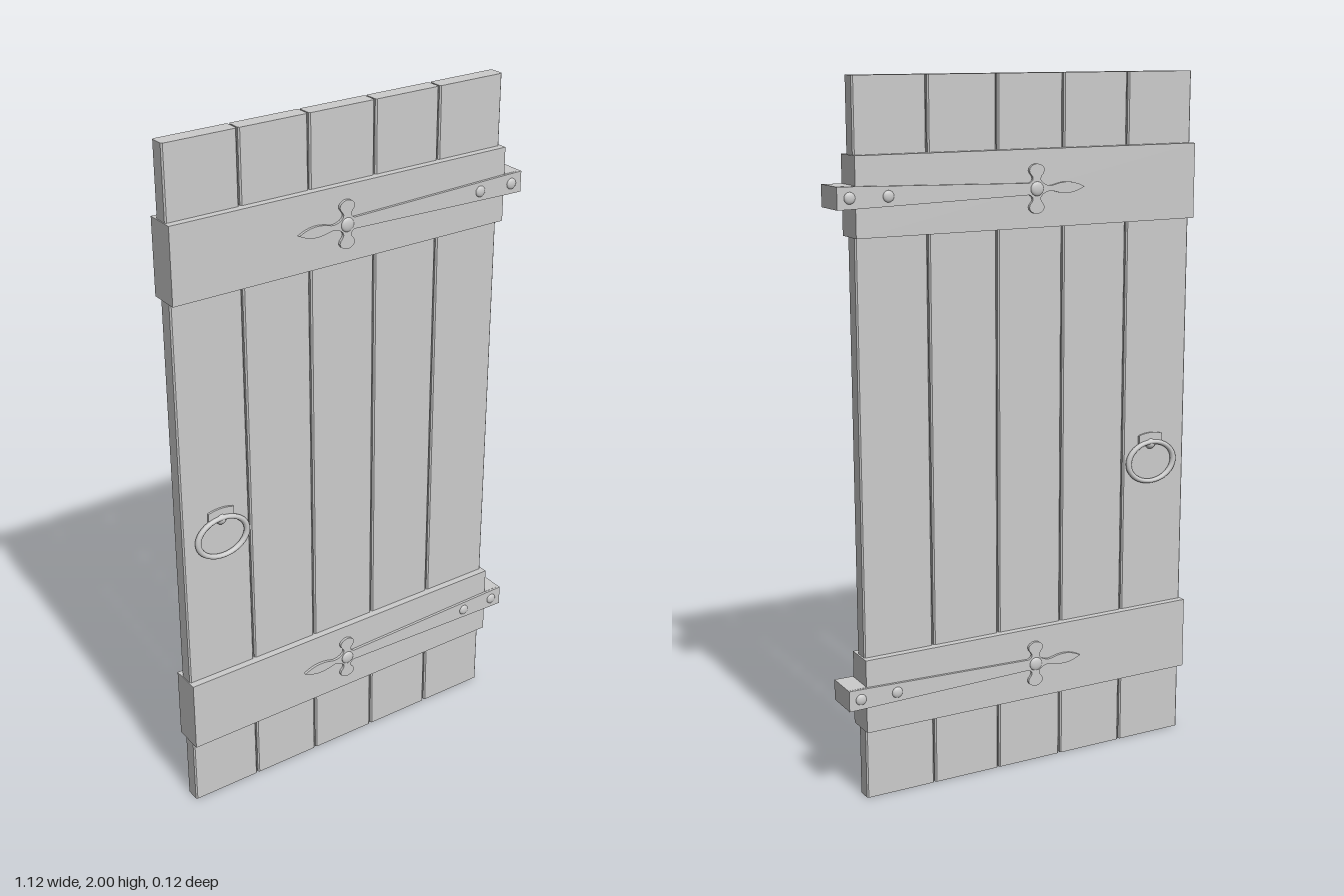
import * as THREE from 'three';

const grey = new THREE.MeshStandardMaterial({ color: 0xcccccc });
grey.name = 'plain grey';

function add(parent, name, geometry, x = 0, y = 0, z = 0) {
  const mesh = new THREE.Mesh(geometry, grey);
  mesh.name = name;
  mesh.position.set(x, y, z);
  parent.add(mesh);
  return mesh;
}

// Upright plank with slightly chamfered long edges
function plankGeometry(width, height, depth, c) {
  const w = width / 2, d = depth / 2;
  const points = [[-w + c, -d], [w - c, -d], [w, -d + c], [w, d - c], [w - c, d], [-w + c, d], [-w, d - c], [-w, -d + c]];
  const shape = new THREE.Shape(points.map(p => new THREE.Vector2(...p)));
  return new THREE.ExtrudeGeometry(shape, { depth: height, bevelEnabled: false }).rotateX(-Math.PI / 2);
}

// Tapered hinge strap ending in two side lobes and a pointed leaf
function strapShape() {
  const s = new THREE.Shape();
  s.moveTo(0.555, -0.03);
  s.lineTo(0.555, 0.03);
  s.lineTo(0.50, 0.029);
  s.lineTo(-0.012, 0.016);
  s.bezierCurveTo(-0.028, 0.024, -0.024, 0.032, -0.014, 0.042);
  s.bezierCurveTo(-0.004, 0.058, -0.024, 0.068, -0.035, 0.068);
  s.bezierCurveTo(-0.046, 0.068, -0.066, 0.058, -0.056, 0.042);
  s.bezierCurveTo(-0.046, 0.032, -0.042, 0.024, -0.056, 0.014);
  s.quadraticCurveTo(-0.075, 0.004, -0.09, 0.009);
  s.bezierCurveTo(-0.12, 0.018, -0.15, 0.02, -0.186, 0);
  s.bezierCurveTo(-0.15, -0.02, -0.12, -0.018, -0.09, -0.009);
  s.quadraticCurveTo(-0.075, -0.004, -0.056, -0.014);
  s.bezierCurveTo(-0.042, -0.024, -0.046, -0.032, -0.056, -0.042);
  s.bezierCurveTo(-0.066, -0.058, -0.046, -0.068, -0.035, -0.068);
  s.bezierCurveTo(-0.024, -0.068, -0.004, -0.058, -0.014, -0.042);
  s.bezierCurveTo(-0.024, -0.032, -0.028, -0.024, -0.012, -0.016);
  s.lineTo(0.50, -0.029);
  return s;
}

// Domed rivet facing +z
function rivetGeometry(radius, height) {
  return new THREE.SphereGeometry(radius, 16, 5, 0, Math.PI * 2, 0, Math.PI / 2)
    .scale(1, height / radius, 1).rotateX(Math.PI / 2);
}

export function createModel() {
  const model = new THREE.Group();
  model.name = 'plankDoor';

  // Five planks
  const seams = [-0.557, -0.343, -0.134, 0.073, 0.282, 0.495];
  for (let i = 0; i < 5; i++) {
    const a = seams[i] + (i ? 0.002 : 0), b = seams[i + 1] - (i < 4 ? 0.002 : 0);
    add(model, 'plank', plankGeometry(b - a, 2, 0.046, 0.004), (a + b) / 2, 0, 0);
  }

  // Cross boards with a hinge on each
  const strap = new THREE.ExtrudeGeometry(strapShape(), { depth: 0.009, bevelEnabled: false, curveSegments: 6 });
  for (const [boardY, hingeY] of [[0.313, 0.313], [1.691, 1.691]]) {
    add(model, 'crossBoard', new THREE.BoxGeometry(1.06, 0.214, 0.088), -0.03, boardY, 0);
    const hinge = new THREE.Group();
    hinge.name = 'hinge';
    hinge.position.y = hingeY;
    model.add(hinge);
    add(hinge, 'hingeEnd', new THREE.BoxGeometry(0.056, 0.06, 0.09), 0.527, 0, 0);
    add(hinge, 'frontStrap', strap, 0, 0, 0.043);
    add(hinge, 'backStrap', strap, 0, 0, -0.052);
    for (const x of [-0.035, 0.41, 0.52]) {
      const r = x < 0 ? 0.02 : 0.016;
      add(hinge, 'frontRivet', rivetGeometry(r, 0.007), x, 0, 0.052);
      add(hinge, 'backRivet', rivetGeometry(r, 0.007), x, 0, -0.052).rotation.y = Math.PI;
    }
  }

  // Ring handles with their mounts on both faces
  const mount = new THREE.Shape();
  mount.moveTo(-0.04, 0.912);
  mount.quadraticCurveTo(0, 0.925, 0.04, 0.912);
  mount.lineTo(0.04, 0.95);
  mount.quadraticCurveTo(0, 0.962, -0.04, 0.95);
  const mountGeometry = new THREE.ExtrudeGeometry(mount, { depth: 0.007, bevelEnabled: false });
  for (const side of [1, -1]) {
    const handle = new THREE.Group();
    handle.name = side > 0 ? 'frontHandle' : 'backHandle';
    handle.position.x = -0.437;
    handle.rotation.y = side > 0 ? 0 : Math.PI;
    model.add(handle);
    add(handle, 'handleMount', mountGeometry, 0, 0, 0.022);
    add(handle, 'handleLoop', new THREE.SphereGeometry(0.016, 14, 10).scale(1, 1, 0.9), 0, 0.922, 0.025);
    add(handle, 'ring', new THREE.TorusGeometry(0.078, 0.009, 10, 40).scale(1, 0.76, 0.9), 0, 0.869, 0.032);
  }
  return model;
}
